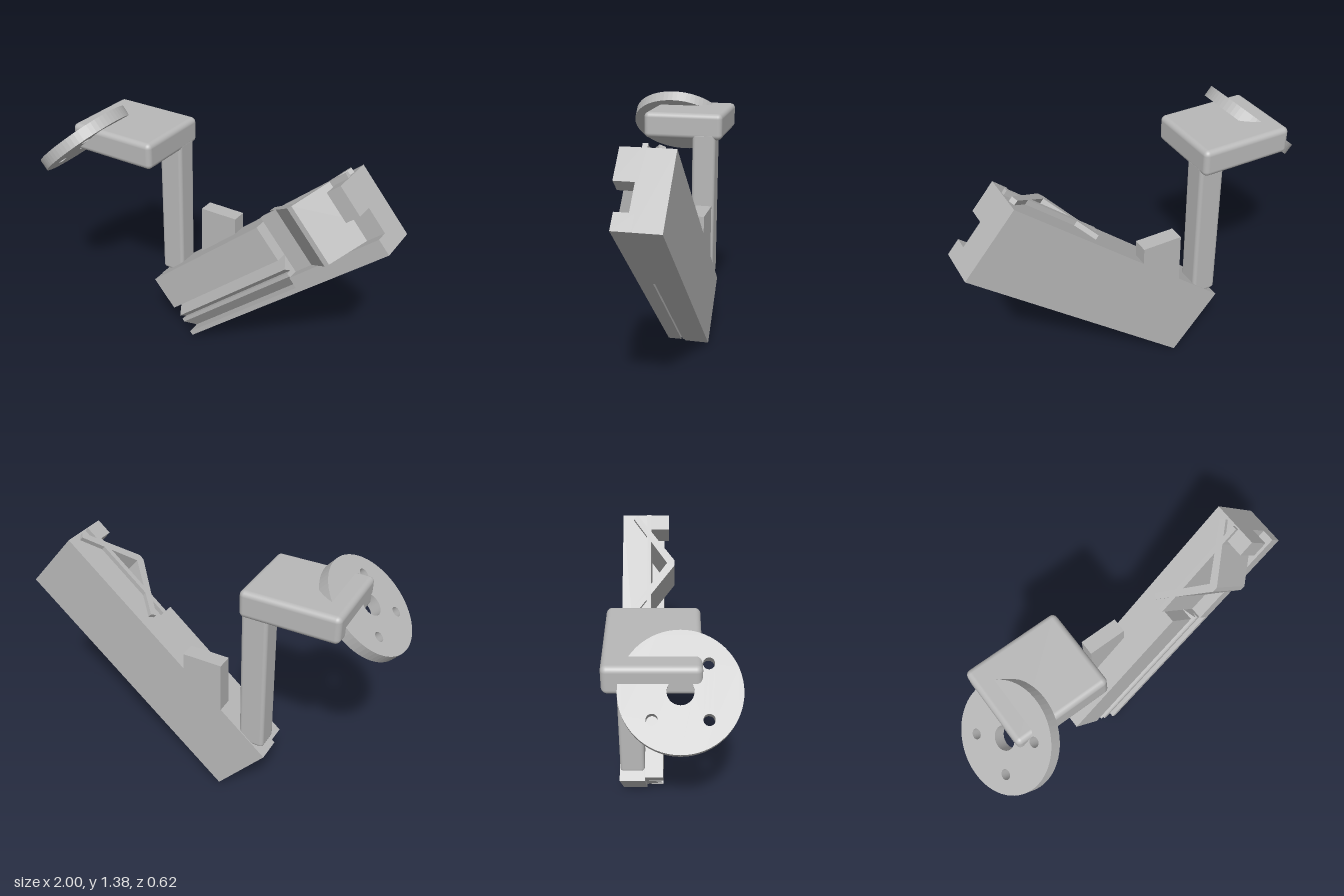
import * as THREE from 'three';
import { RoundedBoxGeometry } from 'three/addons/geometries/RoundedBoxGeometry.js';

export function createModel() {
  const model = new THREE.Group();
  const grey = new THREE.MeshStandardMaterial({ color: 0xb8b8b8 });
  grey.name = 'plain grey';

  const add = (parent, name, geometry, x = 0, y = 0, z = 0) => {
    const mesh = new THREE.Mesh(geometry, grey);
    mesh.name = name;
    mesh.position.set(x, y, z);
    parent.add(mesh);
    return mesh;
  };
  // Box given by its limits on each axis
  const block = (parent, name, [x0, x1], [y0, y1], [z0, z1]) =>
    add(parent, name, new THREE.BoxGeometry(x1 - x0, y1 - y0, z1 - z0),
      (x0 + x1) / 2, (y0 + y1) / 2, (z0 + z1) / 2);
  const rounded = (name, [x0, x1], [y0, y1], [z0, z1], r) =>
    add(model, name, new RoundedBoxGeometry(x1 - x0, y1 - y0, z1 - z0, 4, r),
      (x0 + x1) / 2, (y0 + y1) / 2, (z0 + z1) / 2);
  const shapeOf = (pts) => new THREE.Shape(pts.map(([x, y]) => new THREE.Vector2(x, y)));
  const extrude = (shape, depth, curveSegments = 24) =>
    new THREE.ExtrudeGeometry(shape, { depth, bevelEnabled: false, curveSegments });

  // Tilted arm: local x runs along its length, y across it
  const arm = new THREE.Group();
  arm.name = 'tiltedArm';
  arm.position.set(-0.145, 0, 0);
  arm.rotation.z = THREE.MathUtils.degToRad(41);
  model.add(arm);
  block(arm, 'backPlate', [0, 1.517], [0, 0.407], [-0.28, -0.145]);

  // Grooved front rail, cross-section as [z, y]
  const railProfile = [
    [-0.145, 0.407], [-0.05, 0.407], [-0.05, 0.2], [-0.13, 0.2], [-0.055, 0.14],
    [-0.09, 0.115], [-0.055, 0.115], [-0.055, 0.095], [-0.125, 0.03], [-0.05, 0.026],
    [-0.05, 0], [-0.125, 0], [-0.125, 0.02], [-0.135, 0.02], [-0.135, 0], [-0.145, 0],
  ];
  const rail = extrude(shapeOf(railProfile.map(([z, y]) => [-z, y])), 0.898);
  rail.rotateY(Math.PI / 2);
  add(arm, 'groovedRail', rail, 0.02);

  // Head: lower ledge, cross wall, wedge walls and end block
  block(arm, 'headLedge', [0.918, 1.517], [0, 0.09], [-0.145, -0.05]);
  block(arm, 'crossWall', [0.918, 1.517], [0.09, 0.407], [-0.145, -0.12]);
  block(arm, 'crossWallRim', [0.918, 1.51], [0.407, 0.433], [-0.145, -0.12]);
  block(arm, 'endBlock', [1.43, 1.517], [0.236, 0.407], [-0.12, -0.02]);
  const wedge = extrude(shapeOf([
    [-0.285, 0.195], [-0.265, 0.22], [0, 0.03], [0.265, 0.22], [0.285, 0.195],
    [0.015, -0.012], [-0.015, -0.012],
  ]), 0.343);
  wedge.rotateX(-Math.PI / 2);
  add(arm, 'wedgeWalls', wedge, 1.22, 0.09, 0);

  // Parts standing on the arm
  block(model, 'rearTab', [-0.155, 0.065], [0.35, 0.815], [-0.28, -0.195]);
  rounded('post', [-0.4, -0.26], [0.36, 1.2], [-0.275, -0.145], 0.02);
  rounded('topPad', [-0.77, -0.26], [1.16, 1.305], [-0.31, 0.133], 0.028);

  // Tilted flange disc with a centre hole and four bolt holes
  const disc = new THREE.Shape().absarc(0, 0, 0.273, 0, Math.PI * 2);
  const hole = (x, y, r) => disc.holes.push(new THREE.Path().absarc(x, y, r, 0, Math.PI * 2, true));
  hole(0, 0, 0.06);
  for (const sx of [-1, 1]) for (const sy of [-1, 1]) hole(sx * 0.123, sy * 0.123, 0.026);
  const flange = extrude(disc, 0.062, 32);
  flange.translate(0, 0, -0.031);
  flange.rotateX(-Math.PI / 2);
  add(model, 'flangeDisc', flange, -0.773, 1.18, 0.036).rotation.z = THREE.MathUtils.degToRad(41.5);

  return model;
}
